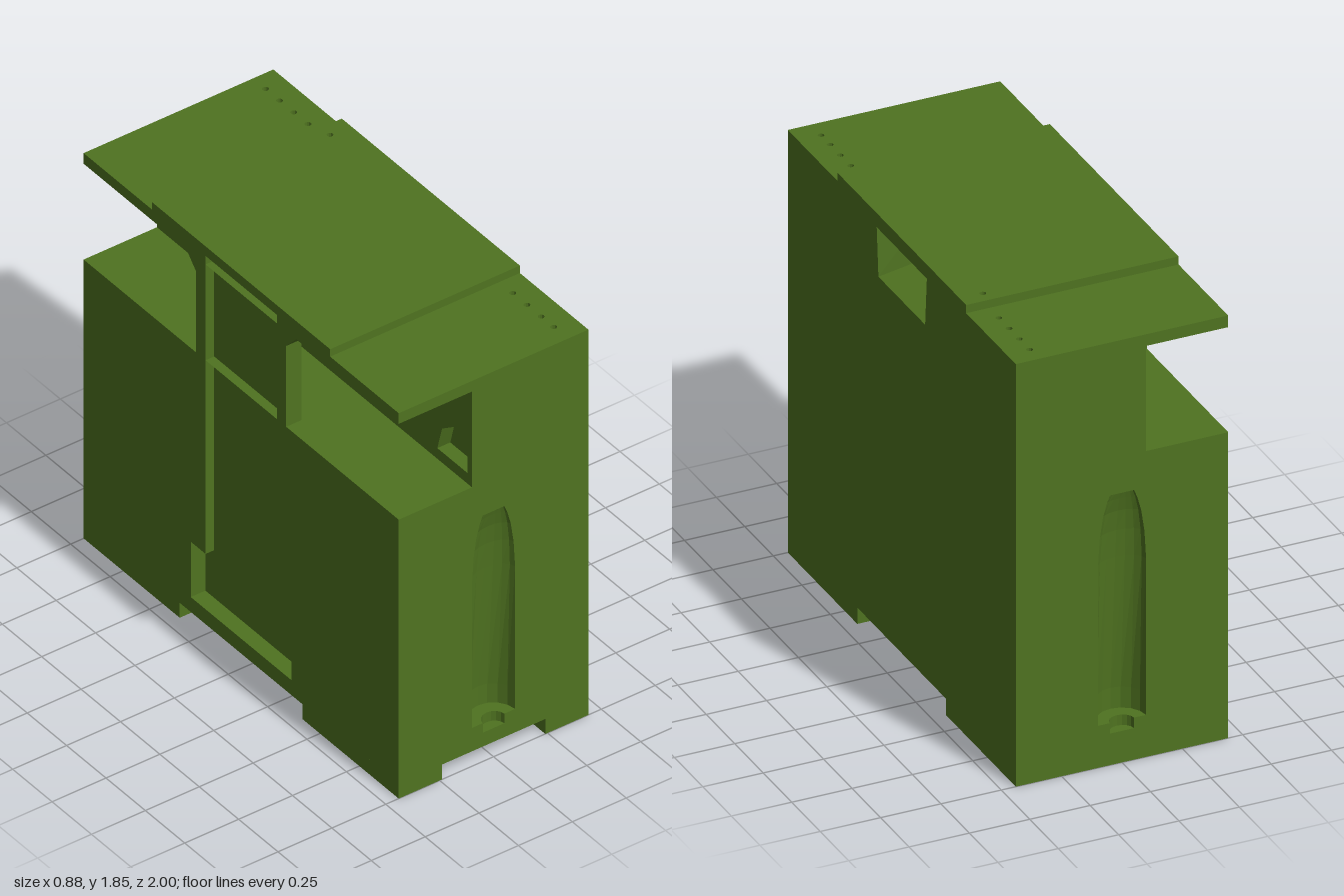
import * as THREE from 'three';

const material = new THREE.MeshStandardMaterial({ color: 0x4f7320, flatShading: true, side: THREE.DoubleSide });
const H = Math.PI / 2;

const mesh = (name, geometry) => {
  const m = new THREE.Mesh(geometry, material);
  m.name = name;
  return m;
};
const rect = (u0, v0, u1, v1) => [[u0, v0], [u1, v0], [u1, v1], [u0, v1]];
const circle = (u, v, r, n = 16) => Array.from({ length: n }, (_, i) => {
  const a = (i / n) * 2 * Math.PI;
  return [u + r * Math.cos(a), v + r * Math.sin(a)];
});
const shape = (outline, holes = []) => {
  const toVec = (l) => l.map(([u, v]) => new THREE.Vector2(u, v));
  const s = new THREE.Shape(toVec(outline));
  s.holes = holes.map((h) => new THREE.Path(toVec(h)));
  return s;
};

// Flat panel with holes, lying at a local depth
function panel(name, outline, holes = [], depth = 0) {
  return mesh(name, new THREE.ShapeGeometry(shape(outline, holes)).translate(0, 0, -depth));
}

// Skin between successive rows of [u, v, z] points
function loft(name, rows, closed) {
  const pos = [];
  for (let r = 0; r + 1 < rows.length; r++) {
    const a = rows[r], b = rows[r + 1], n = a.length;
    for (let i = 0; i < (closed ? n : n - 1); i++) {
      const j = (i + 1) % n;
      pos.push(...a[i], ...a[j], ...b[i], ...a[j], ...b[j], ...b[i]);
    }
  }
  const g = new THREE.BufferGeometry();
  g.setAttribute('position', new THREE.Float32BufferAttribute(pos, 3));
  g.computeVertexNormals();
  return mesh(name, g);
}
const atDepth = (loop, d) => loop.map(([u, v]) => [u, v, -d]);

// Walls and floor of a pocket sunk into a panel
function pocket(name, mouth, depth, floor = mouth, start = 0) {
  const g = new THREE.Group();
  g.name = name;
  g.add(loft(name + 'Walls', [atDepth(mouth, start), atDepth(floor, depth)], true));
  g.add(panel(name + 'Floor', floor, [], depth));
  return g;
}

// Scoop in the end faces: height, half width, depth
const scoop = [
  [0.135, 0.05, 0.045], [0.18, 0.05, 0.045], [0.18, 0.1, 0.1], [0.27, 0.1, 0.1], [0.85, 0.1, 0.06],
  [0.97, 0.093, 0.05], [1.06, 0.08, 0.037], [1.12, 0.064, 0.022], [1.155, 0.05, 0.012],
];
const scoopMouth = [
  ...scoop.map(([y, w]) => [w, y]),
  ...scoop.map(([y, w]) => [-w, y]).reverse(),
];
function scoopSkin() {
  const rows = [[0.135, 0, 0], ...scoop, [1.155, 0, 0]].map(([y, w, d]) =>
    Array.from({ length: 9 }, (_, i) => {
      const a = (i / 8) * Math.PI;
      return [w * Math.cos(a), y, -d * Math.sin(a)];
    }));
  return loft('shellScoop', rows, false);
}

export function createModel() {
  const model = new THREE.Group();
  model.name = 'metalCase';

  const side = (name, rotation, position, ...parts) => {
    const g = new THREE.Group();
    g.name = name;
    g.rotation.set(...rotation);
    g.position.set(...position);
    g.add(...parts);
    model.add(g);
    return g;
  };

  // End faces with the carrying notch in one upper corner
  const endOutline = [
    [-0.44, 0.07], [0.44, 0.07], [0.44, 1.81], [-0.44, 1.81],
    [-0.44, 1.76], [-0.1, 1.76], [-0.1, 1.31], [-0.44, 1.31],
  ];
  const mirrored = endOutline.map(([u, v]) => [-u, v]).reverse();
  side('frontEnd', [0, 0, 0], [0, 0, 1], panel('frontPanel', endOutline, [scoopMouth]), scoopSkin());
  side('backEnd', [0, Math.PI, 0], [0, 0, -1], panel('backPanel', mirrored, [scoopMouth]), scoopSkin());

  // Plain side with the tapered finger grip
  const grip = [[-0.205, 1.58], [0.205, 1.58], [0.22, 1.785], [-0.22, 1.785]];
  const gripBack = [[-0.2, 1.61], [0.2, 1.61], [0.205, 1.765], [-0.205, 1.765]];
  side('leftSide', [0, H, 0], [0.44, 0, 0],
    panel('leftPanel', rect(-1, 0.07, 1, 1.81), [grip]),
    pocket('fingerGrip', grip, 0.16, gripBack));

  // Notched side: central strap, long groove and lower pocket
  const edge = [[0.286, 1.31], [0.286, 1.69], [0.35, 1.76]];
  const edgeMirror = edge.map(([u, v]) => [-u, v]).reverse();
  const strap = [...edge, ...edgeMirror];
  const notchedOutline = [
    [-1, 0.07], [1, 0.07], [1, 1.31], ...edge, [1, 1.76], [1, 1.81],
    [-1, 1.81], [-1, 1.76], ...edgeMirror, [-1, 1.31],
  ];
  const lower = rect(-0.32, 0.14, 0.32, 0.4);
  const groove = [
    [-0.32, 0.14], [0.32, 0.14], [0.32, 0.4], [0.226, 0.4],
    [0.226, 1.8], [-0.226, 1.8], [-0.226, 0.4], [-0.32, 0.4],
  ];
  side('rightSide', [0, -H, 0], [-0.44, 0, 0],
    panel('rightPanel', notchedOutline, [groove]),
    loft('grooveWalls', [atDepth(groove, 0), atDepth(groove, 0.04)], true),
    panel('grooveFloor', rect(-0.226, 0.4, 0.226, 1.8), [], 0.04),
    pocket('lowerPocket', lower, 0.068, lower, 0.04),
    panel('strapBack', strap, [], 0.07),
    ...[edge, edgeMirror].map((e) => loft('strapEdge', [atDepth(e, 0), atDepth(e, 0.07)], false)));

  // Inner wall of the notch with its divided compartment
  const cell = rect(-0.91, 1.4, -0.42, 1.7);
  const arch = [[0.78, 1.36], [0.97, 1.36], [0.97, 1.53], [0.88, 1.52], [0.81, 1.47]];
  const wall = side('notchWall', [0, -H, 0], [-0.1, 0, 0],
    panel('notchWallPanel', rect(-1, 1.31, 1, 1.76), [cell, arch]),
    pocket('compartment', cell, 0.25),
    pocket('archedRecess', arch, 0.06));
  for (const z of [-0.87, -0.72, -0.57]) {
    const divider = mesh('compartmentDivider', new THREE.BoxGeometry(0.02, 0.15, 0.2));
    divider.position.set(z, 1.475, -0.14);
    wall.add(divider);
  }

  // Notch floor, notch ceiling
  side('notchFloor', [-H, 0, 0], [0, 1.31, 0], panel('notchFloorPanel', rect(-0.44, -1, -0.1, 1)));
  side('notchCeiling', [H, 0, 0], [0, 1.76, 0], panel('notchCeilingPanel', rect(-0.44, -1, -0.1, 1)));

  // Top with rows of pin holes
  const pins = [-0.92, -0.83, -0.74, -0.65, 0.65, 0.74, 0.83, 0.91].map((z) => circle(0.345, -z, 0.013, 10));
  side('top', [-H, 0, 0], [0, 1.81, 0],
    panel('topPanel', rect(-0.44, -1, 0.44, 1), pins),
    ...pins.map((p) => pocket('pinHole', p, 0.03)));

  // Slabs are flat shapes given a thickness
  const slab = (name, outline, holes, depth) =>
    mesh(name, new THREE.ExtrudeGeometry(shape(outline, holes), { depth, bevelEnabled: false }));
  side('lid', [-H, 0, 0], [0, 1.81, 0],
    slab('raisedLid', rect(-0.44, -0.565, 0.44, 0.565), [circle(0.345, 0.51, 0.013, 10)], 0.035));

  // Underside with a bolt hole
  const bolt = circle(0, 0.91, 0.05);
  side('underside', [H, 0, 0], [0, 0.07, 0],
    panel('undersidePanel', rect(-0.44, -1, 0.44, 1), [bolt]),
    pocket('boltHole', bolt, 0.06));

  // One full-width back foot and two front runners
  side('feet', [H, 0, 0], [0, 0.07, 0],
    slab('backFoot', rect(-0.44, -1, 0.44, -0.39), [circle(0, -0.91, 0.05)], 0.07),
    slab('frontFootRight', rect(-0.44, 0.39, -0.24, 1), [], 0.07),
    slab('frontFootLeft', rect(0.24, 0.39, 0.44, 1), [], 0.07));

  return model;
}
